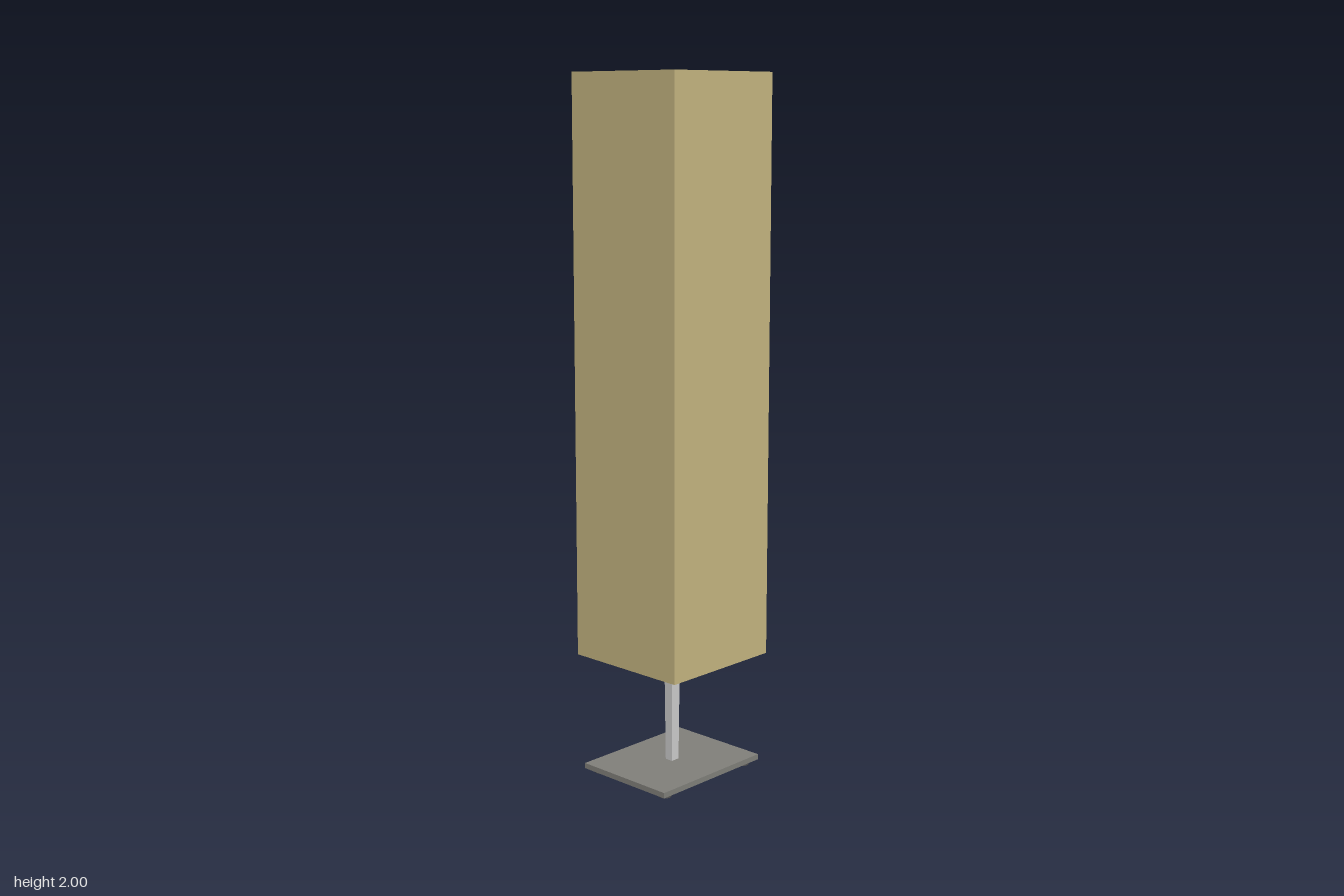
import * as THREE from 'three';

const grey = new THREE.MeshStandardMaterial({ color: 0xcccccc, flatShading: true });
const domeGrey = new THREE.MeshStandardMaterial({ color: 0xcccccc });
const paper = new THREE.MeshStandardMaterial({ color: 0xc4b580 });
const darkMetal = new THREE.MeshStandardMaterial({ color: 0x807f7a });
const rubber = new THREE.MeshStandardMaterial({ color: 0x505050 });

function add(parent, name, geometry, material, x = 0, y = 0, z = 0) {
  const mesh = new THREE.Mesh(geometry, material);
  mesh.name = name;
  mesh.position.set(x, y, z);
  parent.add(mesh);
  return mesh;
}

// Box along y whose width and depth change from bottom to top
function taperedBox(height, bottom, top) {
  const g = new THREE.BoxGeometry(1, height, 1);
  const p = g.attributes.position;
  for (let i = 0; i < p.count; i++) {
    const [w, d] = p.getY(i) > 0 ? top : bottom;
    p.setX(i, p.getX(i) * w);
    p.setZ(i, p.getZ(i) * d);
  }
  g.computeVertexNormals();
  return g;
}

function rectangle(path, h) {
  path.moveTo(-h, -h);
  path.lineTo(h, -h);
  path.lineTo(h, h);
  path.lineTo(-h, h);
  path.closePath();
  return path;
}

export function createModel() {
  const lamp = new THREE.Group();
  lamp.name = 'floorLamp';

  // Square shade, open at both ends
  const outline = rectangle(new THREE.Shape(), 0.193);
  outline.holes.push(rectangle(new THREE.Path(), 0.184));
  const shadeGeometry = new THREE.ExtrudeGeometry(outline, { depth: 1.65, bevelEnabled: false });
  shadeGeometry.rotateX(-Math.PI / 2);
  add(lamp, 'shade', shadeGeometry, paper, 0, 0.35, 0);

  // Base plate on four small feet
  add(lamp, 'basePlate', new THREE.BoxGeometry(0.32, 0.016, 0.4), darkMetal, 0, 0.02, 0);
  for (const sx of [-1, 1]) for (const sz of [-1, 1]) {
    add(lamp, 'foot', new THREE.CylinderGeometry(0.018, 0.018, 0.012, 16), rubber,
      sx * 0.13, 0.006, sz * 0.165);
  }

  // Stem, slightly wider toward the top
  add(lamp, 'stem', taperedBox(0.547, [0.025, 0.028], [0.034, 0.038]), grey, 0, 0.3015, 0);

  // Four arms sloping down and outward from the stem top
  const start = new THREE.Vector2(0.006, 0.553);
  const end = new THREE.Vector2(0.141, 0.424);
  const length = start.distanceTo(end);
  const slope = Math.atan2(start.y - end.y, end.x - start.x);
  for (let i = 0; i < 4; i++) {
    const pivot = new THREE.Group();
    pivot.name = 'armPivot';
    pivot.rotation.y = i * Math.PI / 2;
    const w = i % 2 ? 0.034 : 0.037;
    const arm = add(pivot, 'arm', taperedBox(length, [0.028, w * 0.81], [0.032, w]), grey,
      (start.x + end.x) / 2, (start.y + end.y) / 2, 0);
    arm.rotation.z = Math.PI / 2 - slope;
    lamp.add(pivot);
  }

  // Rounded dome tucked under the arms
  const dome = new THREE.SphereGeometry(0.066, 24, 10, 0, Math.PI * 2, 0, Math.PI / 2);
  const domeMaterial = domeGrey.clone();
  domeMaterial.side = THREE.DoubleSide;
  add(lamp, 'dome', dome, domeMaterial, 0, 0.48, 0);

  return lamp;
}
